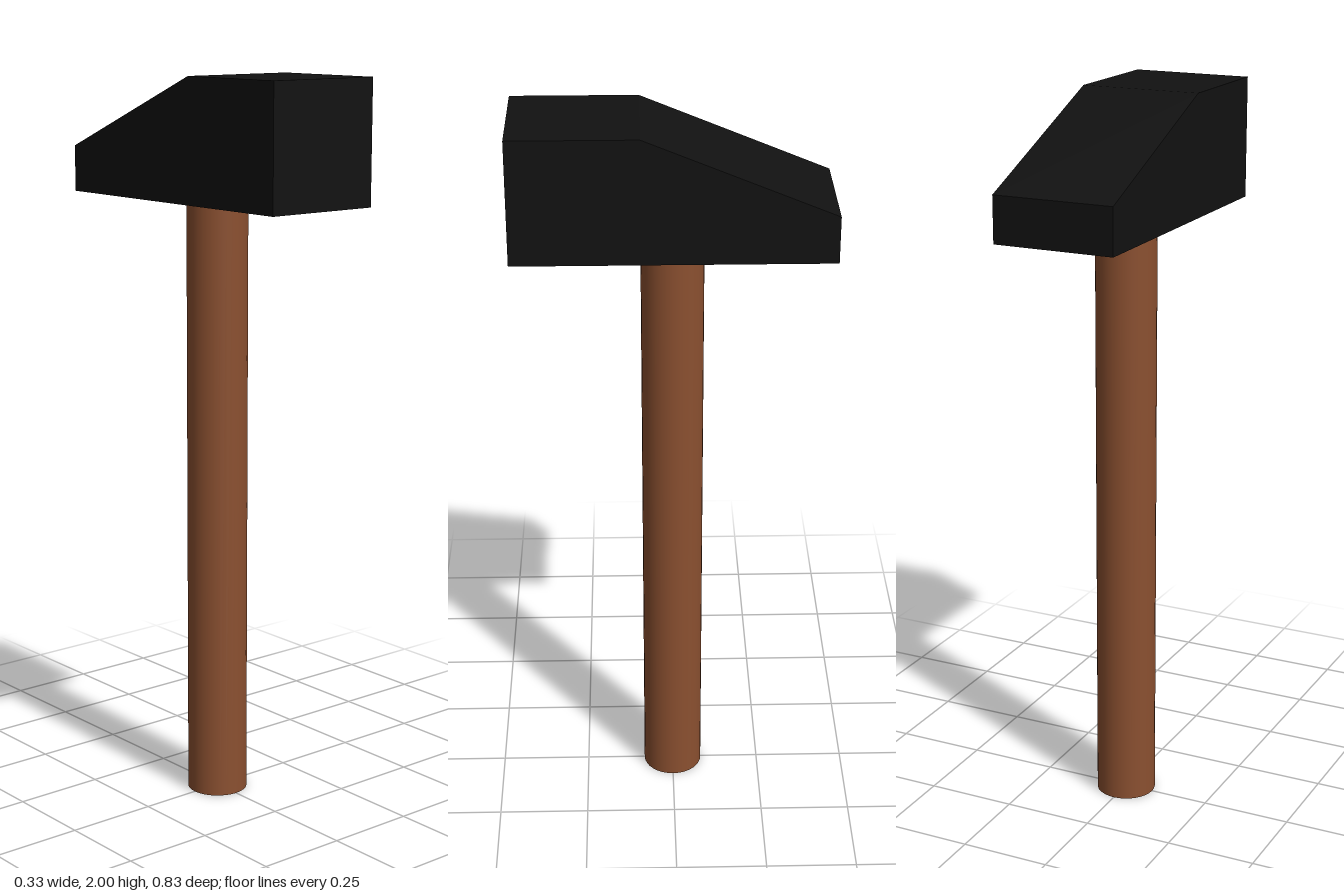
import * as THREE from 'three';

export function createModel() {
  const model = new THREE.Group();
  model.name = 'hammer';

  // Round wooden handle, standing on the ground and meeting the head's underside
  const handleHeight = 1.67;
  const handle = new THREE.Mesh(
    new THREE.CylinderGeometry(0.083, 0.083, handleHeight, 32),
    new THREE.MeshStandardMaterial({ color: 0x8b5030 })
  );
  handle.name = 'handle';
  handle.position.y = handleHeight / 2;
  model.add(handle);

  // Head: side profile (z, y) with a sloping rear, extruded across the width
  const width = 0.333;
  const profile = new THREE.Shape([
    new THREE.Vector2(-0.416, 1.67),
    new THREE.Vector2(0.416, 1.67),
    new THREE.Vector2(0.416, 2),
    new THREE.Vector2(0.083, 2),
    new THREE.Vector2(-0.416, 1.795),
  ]);
  const headGeometry = new THREE.ExtrudeGeometry(profile, { depth: width, bevelEnabled: false });
  headGeometry.translate(0, 0, -width / 2).rotateY(-Math.PI / 2);
  const head = new THREE.Mesh(headGeometry, new THREE.MeshStandardMaterial({ color: 0x111111 }));
  head.name = 'head';
  model.add(head);

  return model;
}
